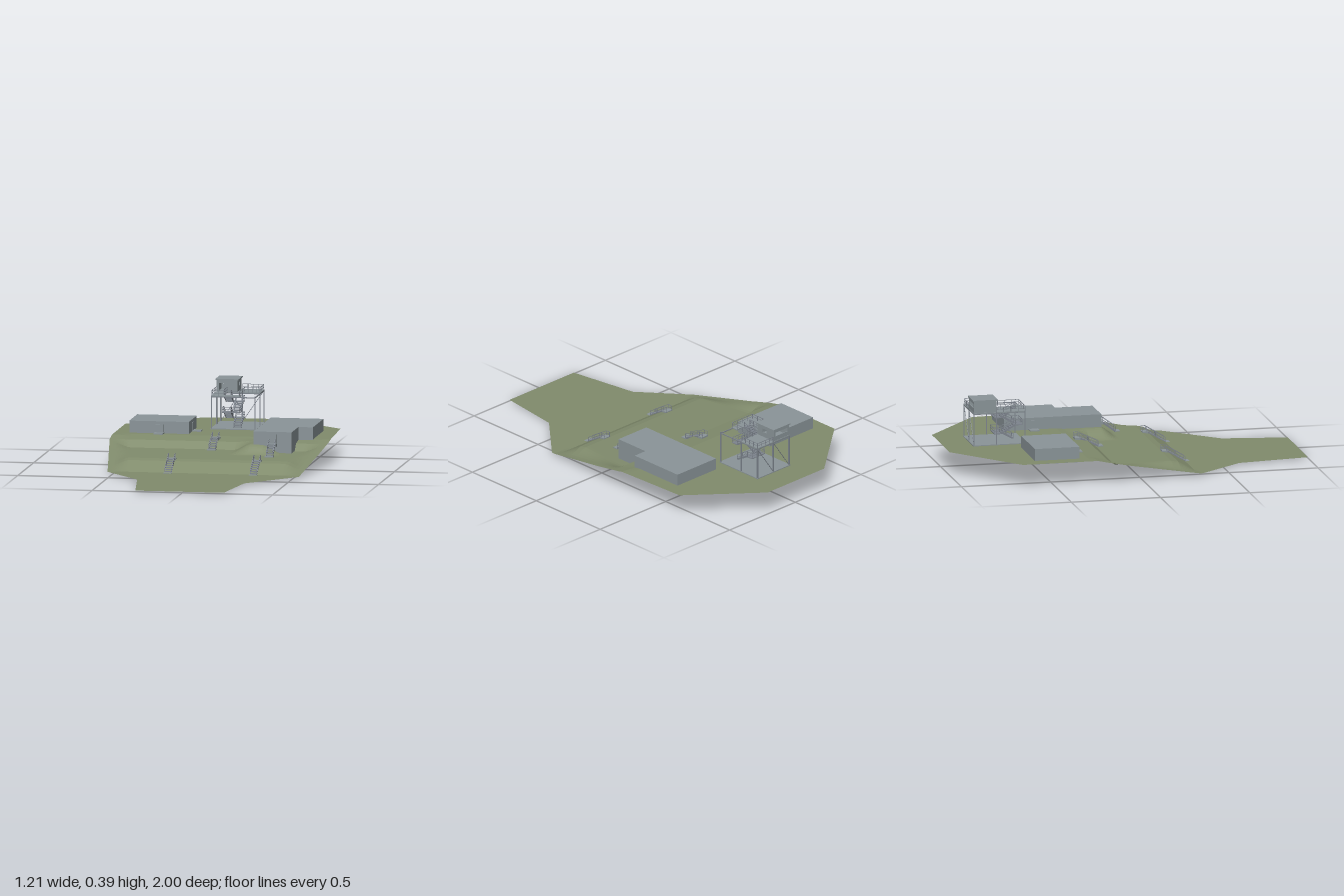
import * as THREE from 'three';

const grass = new THREE.MeshStandardMaterial({ color: 0x808b6c, side: THREE.DoubleSide });
grass.name = 'grass';
const concrete = new THREE.MeshStandardMaterial({ color: 0x8a9498 });
concrete.name = 'concrete';
const steel = new THREE.MeshStandardMaterial({ color: 0x7d848d });
steel.name = 'steel';

// piecewise linear lookup through [key, value] points
function lerpTable(t, k) {
  if (k <= t[0][0]) return t[0][1];
  for (let i = 1; i < t.length; i++) {
    if (k <= t[i][0]) {
      const f = (k - t[i - 1][0]) / (t[i][0] - t[i - 1][0]);
      return t[i - 1][1] + f * (t[i][1] - t[i - 1][1]);
    }
  }
  return t[t.length - 1][1];
}

const LEFT_EDGE = [[-1, -0.22], [-0.68, -0.61], [-0.18, -0.61], [0.34, -0.53], [0.6, -0.32], [1, -0.26]];
const RIGHT_EDGE = [[-1, 0.21], [-0.69, 0.58], [-0.24, 0.6], [0.36, 0.53], [0.64, 0.28], [1, 0.23]];
const TERRACES = [[-0.3, 0.13], [-0.19, 0.115], [-0.14, 0.078], [0.19, 0.07], [0.23, 0.062], [0.32, 0.01], [1, 0.006]];
const RAMP = [[-0.26, 0.13], [-0.05, 0.085], [0.34, 0.01], [1, 0.006]];

// ground height: terraces in the middle, even ramps at both sides, a bank beside the long building
function groundHeight(x, z, edge) {
  const t = THREE.MathUtils.smoothstep(edge, 0.02, 0.12);
  let y = THREE.MathUtils.lerp(lerpTable(RAMP, z), lerpTable(TERRACES, z), t);
  const bank = THREE.MathUtils.smoothstep(x, 0.08, 0.2) * (1 - THREE.MathUtils.smoothstep(x, 0.25, 0.38))
    * (1 - THREE.MathUtils.smoothstep(z, -0.06, 0.03));
  if (y < 0.125) y += (0.125 - y) * bank;
  return y;
}

function terrain() {
  const rows = [-1, -0.85, -0.69, -0.68, -0.5, -0.4];
  for (let i = 0; i <= 74; i++) rows.push(-0.37 + i * 0.01);
  rows.push(0.45, 0.55, 0.6, 0.64, 0.8, 1);
  const n = 60, pos = [], idx = [];
  rows.forEach((z, r) => {
    const a = lerpTable(LEFT_EDGE, z), b = lerpTable(RIGHT_EDGE, z);
    for (let c = 0; c <= n; c++) {
      const x = a + (b - a) * c / n;
      pos.push(x, groundHeight(x, z, Math.min(x - a, b - x)), z);
      if (r && c) {
        const q = r * (n + 1) + c, p = q - n - 1;
        idx.push(p - 1, q - 1, p, p, q - 1, q);
      }
    }
  });
  const g = new THREE.BufferGeometry();
  g.setAttribute('position', new THREE.Float32BufferAttribute(pos, 3));
  g.setIndex(idx);
  const flat = g.toNonIndexed();
  flat.computeVertexNormals();
  const m = new THREE.Mesh(flat, grass);
  m.name = 'terrain';
  return m;
}

// box given by its limits
function block(parent, name, x0, x1, y0, y1, z0, z1, mat = concrete) {
  const m = new THREE.Mesh(new THREE.BoxGeometry(x1 - x0, y1 - y0, z1 - z0), mat);
  m.position.set((x0 + x1) / 2, (y0 + y1) / 2, (z0 + z1) / 2);
  m.name = name;
  parent.add(m);
  return m;
}

// square bar between two points
function bar(parent, name, a, b, w = 0.003, h = w) {
  const p = new THREE.Vector3(...a), q = new THREE.Vector3(...b);
  const m = new THREE.Mesh(new THREE.BoxGeometry(w, h, p.distanceTo(q)), steel);
  m.position.copy(p).add(q).multiplyScalar(0.5);
  m.lookAt(q);
  m.name = name;
  parent.add(m);
}

// handrail with posts, standing on the line from a to b
function rail(parent, a, b, posts = 3, h = 0.028) {
  const up = (p, d) => [p[0], p[1] + d, p[2]];
  bar(parent, 'topRail', up(a, h), up(b, h), 0.0025);
  bar(parent, 'midRail', up(a, h / 2), up(b, h / 2), 0.002);
  for (let i = 0; i < posts; i++) {
    const f = i / (posts - 1), p = a.map((v, k) => v + (b[k] - v) * f);
    bar(parent, 'railPost', p, up(p, h), 0.0025);
  }
}

// straight flight along z with stringers, treads and handrails
function stairs(parent, name, x, w, z0, y0, z1, y1, steps = 8) {
  const g = new THREE.Group();
  g.name = name;
  for (let i = 0; i < steps; i++) {
    const f = (i + 0.5) / steps, z = z0 + (z1 - z0) * f, y = y0 + (y1 - y0) * (i + 1) / steps;
    const d = Math.abs(z1 - z0) / steps / 2;
    block(g, 'tread', x - w / 2, x + w / 2, y - 0.004, y, z - d, z + d, steel);
  }
  for (const s of [-1, 1]) {
    const sx = x + s * w / 2;
    bar(g, 'stringer', [sx, y0, z0], [sx, y1, z1], 0.003, 0.009);
    rail(g, [sx, y0, z0], [sx, y1, z1], 3);
  }
  parent.add(g);
}

// outdoor stairs with a landing at each end
function hillStairs(parent, x, z0, y0, z1, y1, w = 0.036) {
  stairs(parent, 'hillStairs', x, w, z0 - 0.025, y0, z1 + 0.025, y1, 7);
  block(parent, 'lowerLanding', x - 0.024, x + 0.024, y0 - 0.008, y0 + 0.003, z0 - 0.03, z0);
  block(parent, 'upperLanding', x - 0.024, x + 0.024, y1 - 0.012, y1 + 0.003, z1, z1 + 0.03);
  for (const s of [-1, 1]) rail(parent, [x + s * w / 2, y1, z1 + 0.025], [x + s * w / 2, y1, z1], 2);
}

// wall panel with one opening, in its own xy plane
function wall(parent, name, w, h, hole) {
  const s = new THREE.Shape([[0, 0], [w, 0], [w, h], [0, h]].map(p => new THREE.Vector2(...p)));
  const [a, b, c, d] = hole;
  s.holes.push(new THREE.Path([[a, c], [a, d], [b, d], [b, c]].map(p => new THREE.Vector2(...p))));
  const m = new THREE.Mesh(new THREE.ExtrudeGeometry(s, { depth: 0.004, bevelEnabled: false }), concrete);
  m.name = name;
  parent.add(m);
  return m;
}

function tower() {
  const g = new THREE.Group();
  g.name = 'watchTower';
  const xs = [-0.11, 0.01, 0.13], zs = [-0.838, -0.712, -0.552], top = 0.315;
  block(g, 'basePad', -0.115, 0.135, 0.115, 0.135, -0.843, -0.547);
  for (const x of xs) for (const z of zs) {
    if (x === 0.01 && z !== zs[0]) continue;
    bar(g, 'leg', [x, 0.13, z], [x, top, z], 0.006);
  }
  for (const z of zs) bar(g, 'crossBeam', [xs[0], 0.308, z], [xs[2], 0.308, z], 0.005);
  for (const x of [xs[0], xs[2]]) bar(g, 'sideBeam', [x, 0.308, zs[0]], [x, 0.308, zs[2]], 0.005);
  for (const i of [0, 1]) bar(g, 'brace', [xs[i], 0.135, zs[0]], [xs[i + 1], 0.308, zs[0]], 0.003);
  // upper deck around the stair opening
  block(g, 'rearDeck', -0.113, 0.133, 0.309, top, -0.841, -0.71);
  block(g, 'sideDeck', -0.113, -0.05, 0.309, top, -0.71, -0.55);
  block(g, 'frontDeck', -0.05, 0.047, 0.309, top, -0.592, -0.55);
  const rails = [[-0.11, -0.552, 0.045, -0.552], [-0.11, -0.71, -0.11, -0.552], [0.045, -0.71, 0.045, -0.552],
    [0.045, -0.712, 0.13, -0.712], [0.13, -0.838, 0.13, -0.712], [0.012, -0.838, 0.13, -0.838], [-0.05, -0.7, -0.05, -0.595]];
  for (const [a, b, c, d] of rails) rail(g, [a, top, b], [c, top, d], 5);
  // zigzag stairs
  const zf = -0.592, zb = -0.672, rise = 0.045;
  for (let i = 0; i < 4; i++) {
    const even = i % 2 === 0, y = 0.135 + i * rise;
    stairs(g, 'towerFlight', even ? 0.025 : -0.03, 0.04, even ? zf : zb, y, even ? zb : zf, y + rise, 7);
    if (i === 3) break;
    const a = even ? -0.71 : zf, b = even ? zb : -0.552, end = even ? a : b, ly = y + rise;
    block(g, 'landing', -0.052, 0.047, ly - 0.004, ly, a, b, steel);
    rail(g, [-0.05, ly, end], [0.045, ly, end], 3);
    for (const x of [-0.05, 0.045]) rail(g, [x, ly, a], [x, ly, b], 2);
  }
  // cabin with door and windows
  const cabin = new THREE.Group();
  cabin.name = 'cabin';
  wall(cabin, 'frontWall', 0.116, 0.065, [0.014, 0.038, 0.002, 0.048]).position.set(-0.11, top, -0.716);
  wall(cabin, 'backWall', 0.116, 0.065, [0.012, 0.104, 0.026, 0.048]).position.set(-0.11, top, -0.838);
  for (const x of [-0.11, 0.002]) {
    const m = wall(cabin, 'sideWall', 0.118, 0.065, [0.035, 0.065, 0.028, 0.048]);
    m.rotation.y = Math.PI / 2;
    m.position.set(x, top, -0.716);
  }
  block(cabin, 'roof', -0.116, 0.012, 0.379, 0.386, -0.844, -0.706);
  g.add(cabin);
  return g;
}

export function createModel() {
  const model = new THREE.Group();
  model.name = 'terracedOutpost';
  model.add(terrain(), tower());

  // square building on a ring foundation
  block(model, 'squareBuilding', -0.53, -0.2, 0.132, 0.196, -0.595, -0.345);
  for (const z of [-0.595, -0.353]) block(model, 'foundation', -0.53, -0.2, 0.11, 0.134, z, z + 0.008);
  for (const x of [-0.53, -0.208]) block(model, 'foundation', x, x + 0.008, 0.11, 0.134, -0.587, -0.353);
  // long building in two blocks
  block(model, 'longBuildingRear', 0.21, 0.503, 0.11, 0.196, -0.595, -0.26);
  block(model, 'longBuildingFront', 0.21, 0.422, 0.08, 0.196, -0.26, -0.05);

  // doors and their steps
  block(model, 'door', -0.383, -0.341, 0.132, 0.18, -0.345, -0.341);
  block(model, 'doorStep', -0.388, -0.336, 0.12, 0.136, -0.345, -0.295);
  block(model, 'door', -0.2, -0.196, 0.132, 0.18, -0.487, -0.445);
  block(model, 'doorStep', -0.2, -0.15, 0.12, 0.136, -0.492, -0.44);
  block(model, 'door', 0.206, 0.21, 0.132, 0.18, -0.453, -0.411);
  block(model, 'doorStep', 0.163, 0.21, 0.12, 0.136, -0.458, -0.406);
  block(model, 'door', 0.297, 0.337, 0.132, 0.182, -0.05, -0.046);

  // stairs between the terraces
  hillStairs(model, -0.198, 0.345, 0.008, 0.19, 0.072);
  hillStairs(model, 0.275, 0.345, 0.008, 0.19, 0.072);
  hillStairs(model, -0.033, -0.1, 0.08, -0.26, 0.13);
  hillStairs(model, 0.317, 0.075, 0.075, -0.05, 0.13);
  return model;
}
